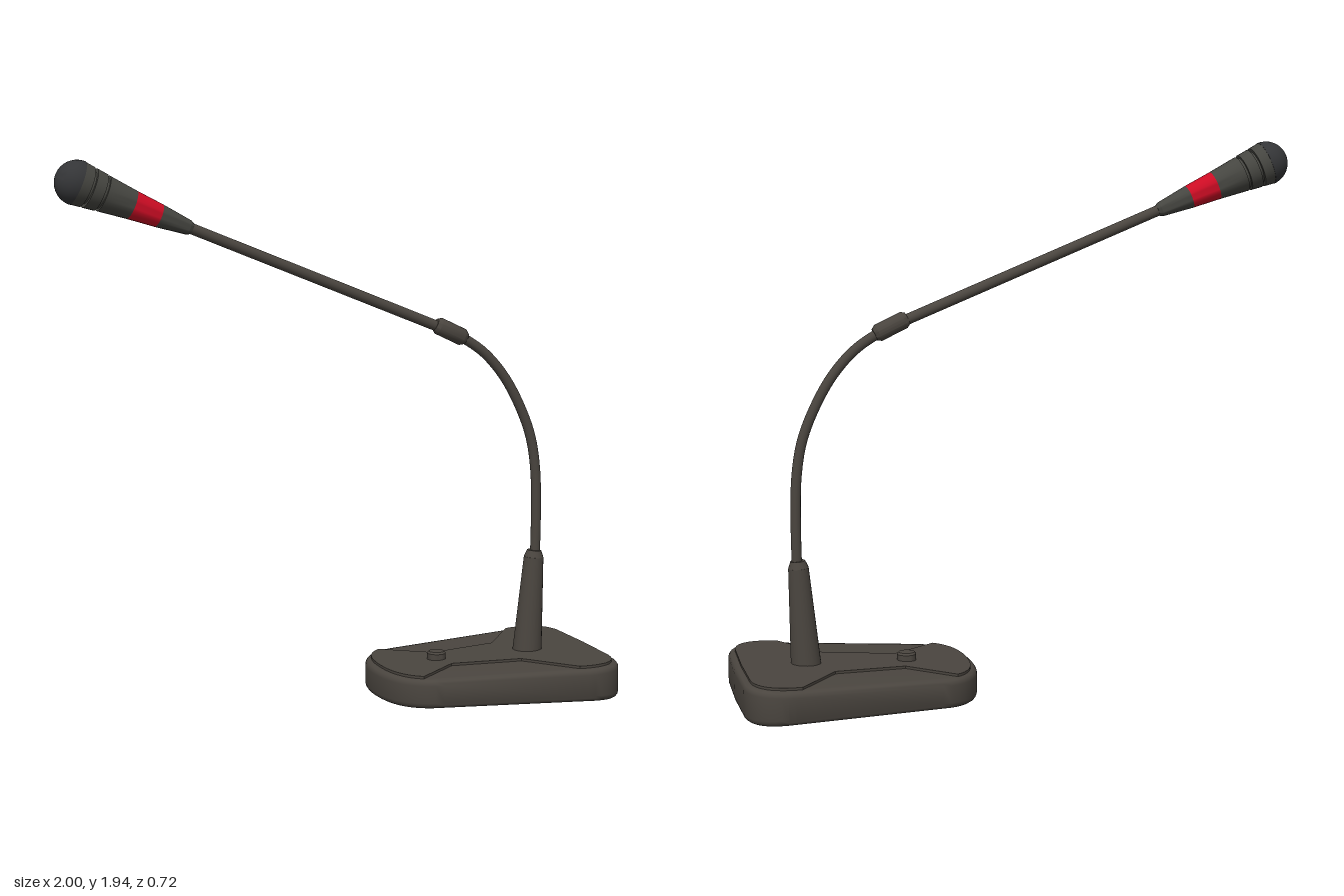
import * as THREE from 'three';
import { toCreasedNormals } from 'three/addons/utils/BufferGeometryUtils.js';

const material = (name, color, side = THREE.FrontSide) => {
  const m = new THREE.MeshStandardMaterial({ color, side });
  m.name = name;
  return m;
};

export function createModel() {
  const model = new THREE.Group();
  const body = material('warm charcoal', 0x4a453f);
  const shell = material('headGrey', 0x464641);
  const dark = material('windscreen black', 0x343537);
  const red = material('signal red', 0xcc0c24);

  const add = (name, geometry, mat, parent = model) => {
    const mesh = new THREE.Mesh(geometry, mat);
    mesh.name = name;
    parent.add(mesh);
    return mesh;
  };

  // Straight round part between two points
  const UP = new THREE.Vector3(0, 1, 0);
  const rod = (name, a, b, ra, rb) => {
    const dir = b.clone().sub(a);
    const mesh = add(name, new THREE.CylinderGeometry(rb, ra, dir.length(), 20), body);
    mesh.position.copy(a).add(b).multiplyScalar(0.5);
    mesh.quaternion.setFromUnitVectors(UP, dir.normalize());
    return mesh;
  };
  const turned = (pts, segments = 32) => toCreasedNormals(
    new THREE.LatheGeometry(pts.map(([r, y]) => new THREE.Vector2(r, y)), segments), 0.6);

  // Tapered rounded footprint, mirrored across its long axis
  const footprint = (inset, notched) => {
    const p = new THREE.Path();
    p.moveTo(1, 0);
    p.lineTo(0.995, 0.24);
    p.bezierCurveTo(0.985, 0.33, 0.93, 0.365, 0.85, 0.358);
    if (notched) {
      p.lineTo(0.82, 0.353);
      p.lineTo(0.67, 0.145);
      p.lineTo(0.4, 0.1);
      p.lineTo(0.23, 0.243);
      p.bezierCurveTo(0.17, 0.2, 0.145, 0.12, 0.145, 0);
    } else {
      p.lineTo(0.3, 0.268);
      p.bezierCurveTo(0.2, 0.25, 0.145, 0.16, 0.145, 0);
    }
    const half = p.getPoints(10).map((v) => new THREE.Vector2(
      0.5725 + (v.x - 0.5725) * (1 - inset / 0.4275), v.y * (1 - inset / 0.36)));
    const other = half.slice(1, -1).reverse().map((v) => new THREE.Vector2(v.x, -v.y));
    return new THREE.Shape([...half, ...other]);
  };
  const topAt = (x) => 0.119 + 0.02 * (x - 0.2) / 0.75;
  const bottomAt = (x) => 0.012 * Math.max(0, 1 - ((x - 0.57) / 0.43) ** 2);

  // Base: bevelled slab, sheared to a gently rising top
  const RIM = 0.009;
  const slab = new THREE.ExtrudeGeometry(footprint(0.022), {
    depth: 0.956, bevelEnabled: true, bevelThickness: 0.022, bevelSize: 0.022, bevelSegments: 4,
  });
  slab.translate(0, 0, 0.022);
  slab.rotateX(-Math.PI / 2);
  const sp = slab.attributes.position;
  for (let i = 0; i < sp.count; i++) {
    const x = sp.getX(i), t = sp.getY(i);
    // keep the bevels round while the straight wall takes up the remaining height
    const lo = bottomAt(x), hi = topAt(x) - RIM;
    const y = t < 0.0225 ? lo + t : t > 0.9775 ? hi - (1 - t) : THREE.MathUtils.lerp(lo, hi, t);
    sp.setY(i, y);
  }
  add('base', toCreasedNormals(slab, 0.6), body);

  // Raised cover, cut away to leave a sunken panel on each side
  const cover = new THREE.ExtrudeGeometry(footprint(0.024, true), { depth: RIM + 0.002, bevelEnabled: false });
  cover.rotateX(-Math.PI / 2);
  const cp = cover.attributes.position;
  for (let i = 0; i < cp.count; i++) cp.setY(i, cp.getY(i) + topAt(cp.getX(i)) - RIM - 0.002);
  add('baseCover', toCreasedNormals(cover, 0.6), body);

  // Push button
  const button = add('button', turned([[0, 0], [0.034, 0], [0.034, 0.022], [0.028, 0.029], [0, 0.031]], 24), body);
  button.position.set(0.388, 0.123, 0);

  // Leaning tapered stem with a chamfered tip
  const stemA = new THREE.Vector3(0.747, 0.12, 0);
  const stemB = new THREE.Vector3(0.77, 0.475, 0);
  const stemC = new THREE.Vector3(0.772, 0.5, 0);
  rod('stem', stemA, stemB, 0.054, 0.036);
  rod('stemTip', stemB, stemC, 0.036, 0.026);

  // Curved gooseneck
  const path = [[0.775, 0.47], [0.777, 0.65], [0.772, 0.8], [0.752, 0.92], [0.71, 1.03],
    [0.645, 1.145], [0.565, 1.235], [0.48, 1.292], [0.43, 1.315]];
  const neck = new THREE.CatmullRomCurve3(path.map(([x, y]) => new THREE.Vector3(x, y, 0)));
  add('gooseneck', new THREE.TubeGeometry(neck, 48, 0.018, 16), body);

  // Straight arm and the collar joining it to the gooseneck
  const headStart = new THREE.Vector3(-0.535, 1.705, 0);
  const tilt = THREE.MathUtils.degToRad(68);
  const axis = new THREE.Vector3(-Math.sin(tilt), Math.cos(tilt), 0);
  const armStart = new THREE.Vector3(0.435, 1.315, 0);
  rod('arm', armStart, headStart.clone().addScaledVector(axis, 0.02), 0.019, 0.019);
  const collar = add('collar', turned([[0, -0.064], [0.022, -0.064], [0.031, -0.05],
    [0.031, 0.05], [0.022, 0.064], [0, 0.064]], 20), body);
  collar.position.copy(armStart);
  collar.rotation.z = tilt - 0.06;

  // Microphone head, turned along the arm's axis
  const head = new THREE.Group();
  head.name = 'microphoneHead';
  head.position.copy(headStart);
  head.rotation.z = tilt;
  model.add(head);
  const section = (name, mat, r0, t0, r1, t1) =>
    add(name, turned([[0, t0], [r0, t0], [r1, t1], [0, t1]]), mat, head);
  section('headTip', shell, 0.02, -0.012, 0.026, 0);
  section('headCone', shell, 0.026, 0, 0.041, 0.113);
  section('redBand', red, 0.041, 0.113, 0.051, 0.215);
  section('headBody', shell, 0.051, 0.215, 0.064, 0.322);
  section('headCore', shell, 0.055, 0.32, 0.06, 0.4);
  section('headRing', shell, 0.066, 0.332, 0.071, 0.372);
  section('headRing', shell, 0.072, 0.382, 0.077, 0.418);

  // Domed windscreen
  const dome = [[0, 0.415]];
  for (let i = 0; i <= 10; i++) {
    const a = (i / 10) * Math.PI / 2;
    dome.push([i === 10 ? 0 : 0.078 * Math.cos(a), 0.418 + 0.078 * Math.sin(a)]);
  }
  add('windscreen', turned(dome), dark, head);

  return model;
}
